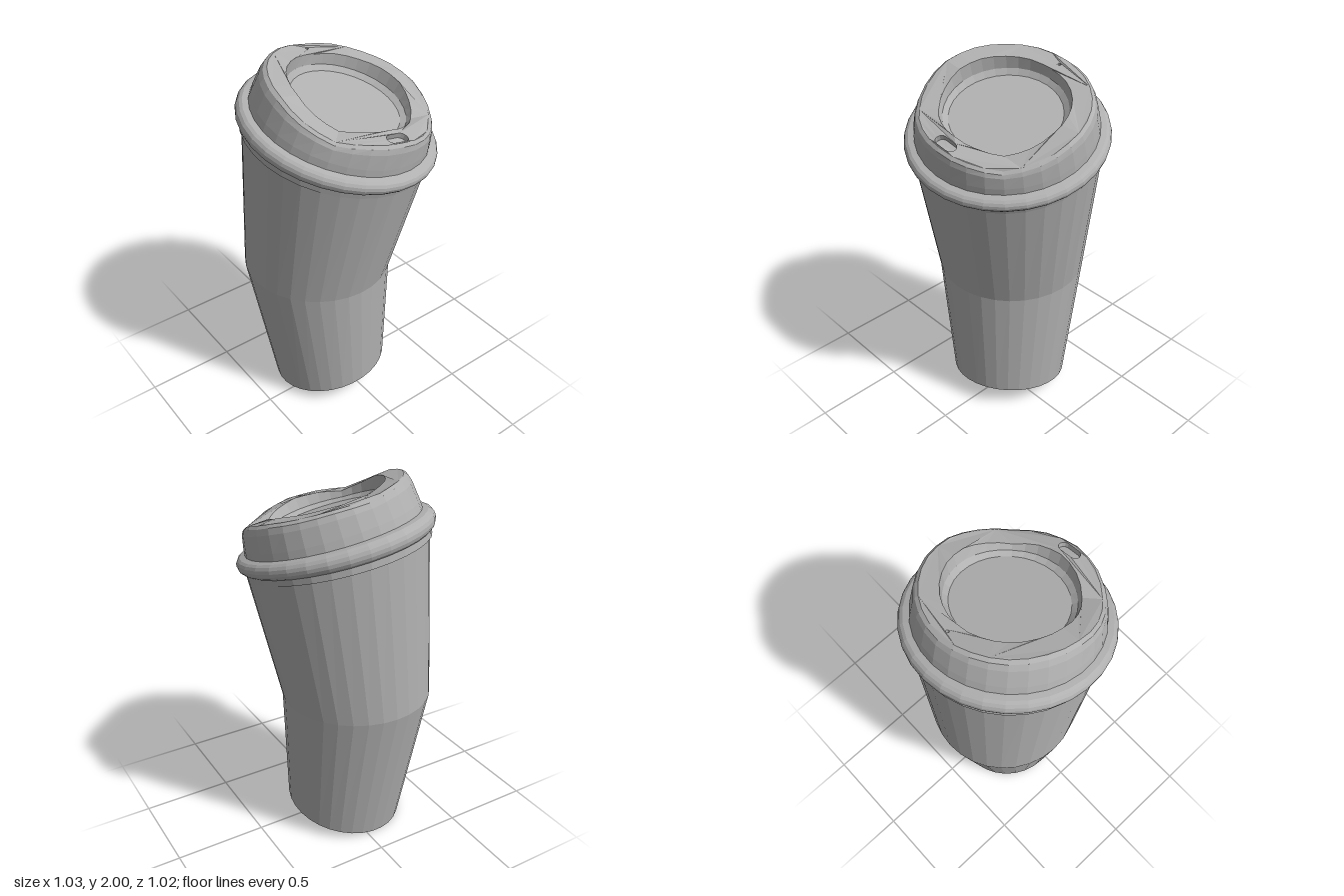
import * as THREE from 'three';

const SIDES = 32;
const TOP = 1.885;                       // height of the lid rim before bending
const CURVE = 1 / 3.37, BEND_Y = 0.756;  // bend curvature and its neutral height
const DX = 0.58, DZ = 0.815, SHIFT = -0.123;

// Bends an upright point so the cup arches toward +x +z
function bend(p) {
  const u = p.x * DX + p.z * DZ, v = p.x * DZ - p.z * DX;
  const t = (p.y - BEND_Y) * CURVE;
  const w = SHIFT + (1 - Math.cos(t)) / CURVE + u * Math.cos(t);
  const y = BEND_Y + Math.sin(t) / CURVE - u * Math.sin(t);
  return p.set(w * DX + v * DZ, y, w * DZ - v * DX);
}

function bendGeometry(geo) {
  const pos = geo.attributes.position, p = new THREE.Vector3();
  for (let i = 0; i < pos.count; i++) {
    bend(p.fromBufferAttribute(pos, i));
    pos.setXYZ(i, p.x, p.y, p.z);
  }
  geo.computeVertexNormals();
  return geo;
}

// Skin over a stack of closed loops, which run counter-clockwise seen from above
function loft(loops) {
  const n = loops[0].length, position = [], index = [];
  loops.forEach(l => l.forEach(p => position.push(p.x, p.y, p.z)));
  for (let i = 0; i < loops.length - 1; i++) {
    for (let j = 0; j < n; j++) {
      const a = i * n + j, b = i * n + (j + 1) % n;
      index.push(a, b, b + n, a, b + n, a + n);
    }
  }
  const geo = new THREE.BufferGeometry();
  geo.setAttribute('position', new THREE.Float32BufferAttribute(position, 3));
  geo.setIndex(index);
  return bendGeometry(geo.toNonIndexed());
}

// Gentle wave of the lid rim, mirrored left to right, from front (0) to back (PI)
const WAVE = [0.015, 0, -0.03, -0.01, 0.015, 0.015, 0.005, 0, -0.01];
function wave(x, z) {
  const f = Math.abs(Math.atan2(x, z)) / Math.PI * 8;
  const i = Math.min(7, Math.floor(f));
  return THREE.MathUtils.lerp(WAVE[i], WAVE[i + 1], f - i);
}

// Ring of radius r at height h, with the rim wave weighted by k
function ring(r, h, k = 0) {
  return Array.from({ length: SIDES }, (_, i) => {
    const a = i / SIDES * Math.PI * 2;
    const x = r * Math.sin(a), z = r * Math.cos(a);
    return new THREE.Vector3(x, h + (k ? k * wave(x, z) : 0), z);
  });
}

// Rounded slot outline in the lid, cz from the centre
function slot(halfLength, radius, cz, steps = 6) {
  const pts = [];
  for (const side of [1, -1]) {
    for (let i = 0; i <= steps; i++) {
      const a = i / steps * Math.PI + (side < 0 ? Math.PI : 0);
      pts.push(new THREE.Vector3(
        side * halfLength + radius * Math.sin(a), 0, cz + radius * Math.cos(a)));
    }
  }
  return pts;
}

const onRim = (pts, drop = 0) => pts.map(p =>
  new THREE.Vector3(p.x, TOP + wave(p.x, p.z) - drop, p.z));

// Blind hole: walls going down from the rim and a floor
function pocket(outline, depth) {
  const floor = onRim(outline, depth);
  const mid = floor.reduce((s, p) => s.add(p), new THREE.Vector3()).divideScalar(floor.length);
  return loft([onRim(outline), floor, floor.map(() => mid)]);
}

export function createModel() {
  const group = new THREE.Group();
  const grey = new THREE.MeshStandardMaterial({ color: 0xb0b0b0, flatShading: true });
  grey.name = 'grey plastic';
  const add = (name, geo) => {
    const mesh = new THREE.Mesh(geo, grey);
    mesh.name = name;
    group.add(mesh);
  };

  // Cup with a recessed underside
  add('cup', loft([
    ring(0, 0.142), ring(0.305, 0.142), ring(0.31, 0.066),
    ring(0.33, 0.066), ring(0.405, 0.82), ring(0.488, 1.66),
  ]));

  // Lid skirt, round bead and sloping wall
  const bead = [];
  for (let i = 0; i <= 8; i++) {
    const a = -Math.PI / 2 + i / 8 * Math.PI;
    bead.push(ring(0.48 + 0.042 * Math.cos(a), 1.68 + 0.044 * Math.sin(a)));
  }
  add('lidSkirt', loft([ring(0.48, 1.603), ring(0.488, 1.605), ring(0.492, 1.65)]));
  add('lidBead', loft([...bead, ring(0.46, 1.728)]));
  add('lidWall', loft([
    ring(0.468, 1.715), ring(0.462, 1.765), ring(0.448, 1.845, 0.6),
    ring(0.437, 1.872, 0.9), ring(0.42, TOP, 1),
  ]));

  // Lid rim with openings for the recess, drinking slot and vent
  const drink = slot(0.034, 0.029, 0.38);
  const vent = slot(0.0005, 0.008, -0.38);
  const flat = pts => pts.map(p => new THREE.Vector2(p.x, -p.z));
  const rim = new THREE.Shape(flat(ring(0.42, 0)));
  for (const hole of [ring(0.325, 0), drink, vent]) rim.holes.push(new THREE.Path(flat(hole)));
  const rimGeo = new THREE.ShapeGeometry(rim).rotateX(-Math.PI / 2).toNonIndexed();
  const pos = rimGeo.attributes.position;
  for (let i = 0; i < pos.count; i++) pos.setY(i, TOP + wave(pos.getX(i), pos.getZ(i)));
  add('lidRim', bendGeometry(rimGeo));

  add('lidRecess', loft([
    ring(0.325, TOP, 1), ring(0.312, 1.83, 0.2), ring(0.285, 1.808), ring(0, 1.808),
  ]));
  add('drinkingSlot', pocket(drink, 0.03));
  add('ventHole', pocket(vent, 0.02));
  return group;
}
